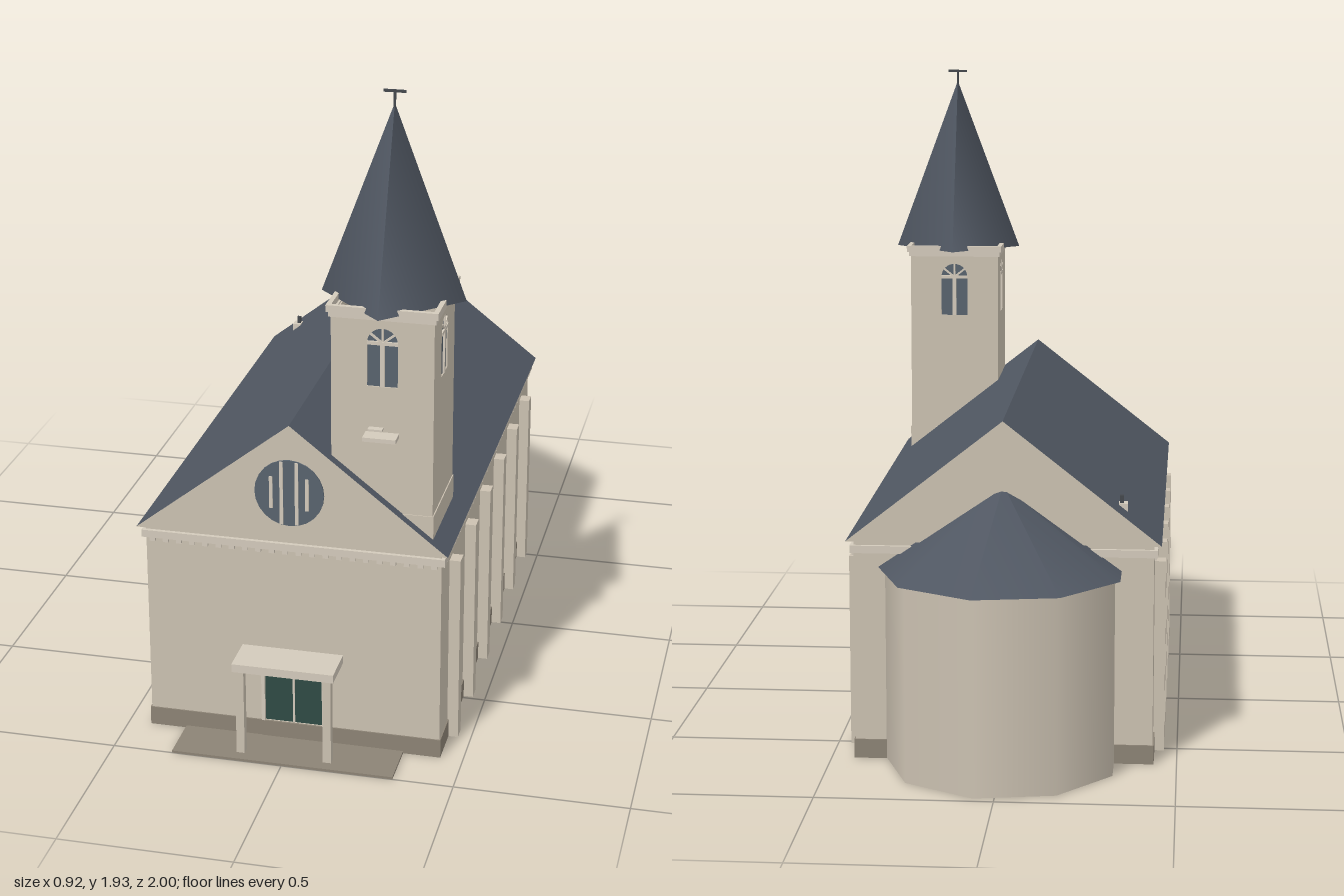
import * as THREE from 'three';

const mat = (name, color, side = THREE.FrontSide) => {
  const m = new THREE.MeshStandardMaterial({ color, side });
  m.name = name;
  return m;
};

export function createModel() {
  const wallMat = mat('limewashed wall', 0xcbc1b1);
  const trimMat = mat('pale trim', 0xd3cabb);
  const plinthMat = mat('plinth stone', 0x8c8375);
  const slateMat = mat('roof slate', 0x505762);
  const glassMat = mat('window glass', 0x58636e, THREE.DoubleSide);
  const doorMat = mat('green door', 0x2f4a44, THREE.DoubleSide);
  const metalMat = mat('dark metal', 0x44484d);

  const church = new THREE.Group();
  church.name = 'church';

  const add = (parent, name, geo, material, x = 0, y = 0, z = 0) => {
    const m = new THREE.Mesh(geo, material);
    m.name = name;
    m.position.set(x, y, z);
    parent.add(m);
    return m;
  };
  // box given by its limits
  const box = (parent, name, material, x0, x1, y0, y1, z0, z1) =>
    add(parent, name, new THREE.BoxGeometry(x1 - x0, y1 - y0, z1 - z0), material,
      (x0 + x1) / 2, (y0 + y1) / 2, (z0 + z1) / 2);
  // four bars round a rectangle, t is the bar width
  const frame = (parent, name, material, x0, x1, y0, y1, z0, z1, t) => {
    box(parent, name, material, x0, x1, y0, y1, z1 - t, z1);
    box(parent, name, material, x0, x1, y0, y1, z0, z0 + t);
    box(parent, name, material, x0, x0 + t, y0, y1, z0 + t, z1 - t);
    box(parent, name, material, x1 - t, x1, y0, y1, z0 + t, z1 - t);
  };
  // group whose local +z points outward from a wall
  const facing = (parent, name, x, z, angle) => {
    const g = new THREE.Group();
    g.name = name;
    g.position.set(x, 0, z);
    g.rotation.y = angle;
    parent.add(g);
    return g;
  };
  const trace = (path, u, w, y0, y1, arched) => {
    const r = w / 2;
    path.moveTo(u - r, y0);
    path.lineTo(u + r, y0);
    if (arched) {
      path.lineTo(u + r, y1 - r);
      path.absarc(u, y1 - r, r, 0, Math.PI, false);
    } else {
      path.lineTo(u + r, y1);
      path.lineTo(u - r, y1);
    }
    path.closePath();
    return path;
  };
  // wall panel with openings [u, width, bottom, top, arched], outer face at local z = 0
  const wall = (parent, name, w, y0, y1, t, openings = []) => {
    const s = trace(new THREE.Shape(), 0, w, y0, y1, false);
    openings.forEach(o => s.holes.push(trace(new THREE.Path(), ...o)));
    const geo = new THREE.ExtrudeGeometry(s, { depth: t, bevelEnabled: false, curveSegments: 8 });
    return add(parent, name, geo.translate(0, 0, -t), wallMat);
  };
  // glazed arched window with mullion, transom and fan bars
  const archWindow = (parent, u, w, y0, y1) => {
    const r = w / 2, spring = y1 - r;
    add(parent, 'windowGlass', new THREE.ShapeGeometry(
      trace(new THREE.Shape(), u, w, y0, y1, true), 8), glassMat, 0, 0, -0.004);
    box(parent, 'mullion', trimMat, u - 0.006, u + 0.006, y0, spring, -0.008, 0.002);
    box(parent, 'transom', trimMat, u - r, u + r, spring - 0.005, spring + 0.005, -0.008, 0.002);
    for (const a of [-0.9, 0, 0.9]) {
      const bar = add(parent, 'fanBar', new THREE.BoxGeometry(0.006, r, 0.008), trimMat,
        u - Math.sin(a) * r / 2, spring + Math.cos(a) * r / 2, -0.003);
      bar.rotation.z = a;
    }
  };

  // nave side walls, windows and buttresses; one opening on each side is unglazed
  const W = 0.43, Z0 = -0.645, Z1 = 0.85, ZC = (Z0 + Z1) / 2, L = Z1 - Z0;
  const windowZ = [0.618, 0.36, 0.11, -0.147, -0.404];
  for (const s of [1, -1]) {
    const side = facing(church, s > 0 ? 'leftNaveWall' : 'rightNaveWall', s * W, ZC, s * Math.PI / 2);
    const us = windowZ.map(z => -s * (z - ZC));
    wall(side, 'naveSideWall', L, 0, 0.65, 0.02, us.map(u => [u, 0.1, 0.155, 0.44, true]));
    us.forEach((u, i) => {
      if (i !== (s > 0 ? 3 : 2)) archWindow(side, u, 0.1, 0.155, 0.44);
    });
    for (let i = 0; i < 6; i++) {
      const u = -s * (0.708 - i * 0.241 - ZC);
      box(side, 'buttress', wallMat, u - 0.022, u + 0.022, 0, 0.57, 0, 0.032);
    }
    for (let i = 0; i < 38; i++) {
      const u = -L / 2 + 0.02 + i * (L - 0.04) / 37;
      box(side, 'dentil', trimMat, u - 0.008, u + 0.008, 0.6, 0.612, 0, 0.008);
    }
    box(side, 'plinth', plinthMat, -L / 2 - 0.003, L / 2 + 0.003, 0, 0.056, 0, 0.004);
  }

  // front and back walls
  const front = facing(church, 'frontWall', 0, Z1, 0);
  wall(front, 'frontPanel', 2 * W - 0.002, 0, 0.65, 0.02, [[0, 0.176, 0.056, 0.22, false]]);
  for (const s of [1, -1]) {
    const p = box(front, 'plinth', plinthMat, 0.09, W + 0.003, 0, 0.056, 0, 0.004);
    p.position.x *= s;
  }
  box(front, 'doorSill', plinthMat, -0.09, 0.09, 0, 0.056, 0, 0.006);
  const back = facing(church, 'backWall', 0, Z0, Math.PI);
  wall(back, 'backPanel', 2 * W - 0.002, 0, 0.65, 0.02);
  box(back, 'plinth', plinthMat, -W - 0.003, W + 0.003, 0, 0.056, 0, 0.004);
  for (let i = 0; i < 22; i++) {
    const u = -0.41 + i * 0.82 / 21;
    box(front, 'dentil', trimMat, u - 0.008, u + 0.008, 0.6, 0.612, 0, 0.008);
  }
  frame(church, 'cornice', trimMat, -0.441, 0.441, 0.612, 0.634, Z0 - 0.011, Z1 + 0.011, 0.025);

  // roof prism: slate slopes, plastered gable ends
  const gable = new THREE.Shape([[-0.452, 0.648], [0.452, 0.648], [0, 1.003]]
    .map(p => new THREE.Vector2(...p)));
  add(church, 'naveRoof', new THREE.ExtrudeGeometry(gable, { depth: 1.537, bevelEnabled: false })
    .translate(0, 0, -0.665), [wallMat, slateMat]);

  // round gable window with upright bars
  const rose = facing(church, 'roundWindow', 0, 0.872, 0);
  add(rose, 'roundGlass', new THREE.CylinderGeometry(0.1, 0.1, 0.006, 24).rotateX(Math.PI / 2),
    glassMat, 0, 0.8, 0.002);
  for (const [x, h] of [[-0.052, 0.048], [-0.022, 0.095], [0.022, 0.095], [0.052, 0.048]])
    box(rose, 'roundWindowBar', trimMat, x - 0.005, x + 0.005, 0.8 - h, 0.8 + h, 0.004, 0.008);

  // double door with frame
  for (const s of [1, -1]) {
    box(church, 'doorLeaf', doorMat, s > 0 ? 0.003 : -0.088, s > 0 ? 0.088 : -0.003, 0.056, 0.22, 0.838, 0.846);
    box(church, 'doorJamb', trimMat, s * 0.09 - 0.005, s * 0.09 + 0.005, 0.056, 0.222, 0.84, 0.856);
  }
  box(church, 'doorMeetingRail', trimMat, -0.003, 0.003, 0.056, 0.22, 0.838, 0.849);
  box(church, 'doorLintel', trimMat, -0.095, 0.095, 0.218, 0.227, 0.84, 0.856);

  // porch
  box(church, 'porchPaving', plinthMat, -0.325, 0.325, 0, 0.007, 0.85, 1.0);
  box(church, 'porchCanopy', trimMat, -0.15, 0.147, 0.27, 0.295, 0.85, 0.972);
  for (const x of [-0.129, 0.126])
    box(church, 'porchPost', wallMat, x - 0.012, x + 0.012, 0, 0.27, 0.942, 0.966);

  // apse: nine-sided, softly shaded, with a conical roof
  const turn = Math.PI - 10 * Math.PI / 180;
  add(church, 'apseWall', new THREE.CylinderGeometry(0.34, 0.34, 0.57, 9), wallMat, 0, 0.286, Z0)
    .rotation.y = turn;
  add(church, 'apseRoof', new THREE.ConeGeometry(0.36, 0.245, 9), slateMat, 0, 0.6925, Z0)
    .rotation.y = turn;

  // tower: four walls, hollow inside
  const tower = new THREE.Group();
  tower.name = 'tower';
  tower.position.set(0.257, 0, 0.697);
  church.add(tower);
  const T = 0.144;
  for (let i = 0; i < 4; i++) {
    const a = i * Math.PI / 2;
    const f = facing(tower, 'towerSide', Math.sin(a) * T, Math.cos(a) * T, a);
    wall(f, 'towerWall', 2 * T, 0.66, 1.335, 0.012, [[0, 0.086, 1.13, 1.3, true]]);
    archWindow(f, 0, 0.086, 1.13, 1.3);
  }
  frame(tower, 'towerBaseBand', wallMat, -T - 0.003, T + 0.003, 0.66, 0.755, -T - 0.003, T + 0.003, 0.01);
  frame(tower, 'towerCornice', trimMat, -T - 0.006, T + 0.006, 1.325, 1.34, -T - 0.006, T + 0.006, 0.014);
  frame(tower, 'towerCornice', trimMat, -T - 0.012, T + 0.012, 1.34, 1.36, -T - 0.012, T + 0.012, 0.014);
  // small ledge on the tower front
  box(tower, 'towerLedge', trimMat, -0.046, 0.048, 0.984, 0.996, T, T + 0.048);
  box(tower, 'towerLedgePlate', trimMat, -0.037, 0.004, 1.004, 1.01, T, T + 0.02);

  // four-sided spire, corners over the middle of each wall
  add(tower, 'spire', new THREE.ConeGeometry(0.204, 0.548, 4), slateMat, 0, 1.619, 0);
  box(tower, 'finialMast', metalMat, -0.003, 0.003, 1.87, 1.93, -0.003, 0.003);
  box(tower, 'finialBar', metalMat, -0.031, 0.031, 1.922, 1.929, -0.003, 0.003);

  // chimney
  box(church, 'chimney', trimMat, -0.352, -0.326, 0.7, 0.75, -0.57, -0.535);
  box(church, 'chimneyPipe', metalMat, -0.34, -0.329, 0.75, 0.772, -0.558, -0.547);

  return church;
}
